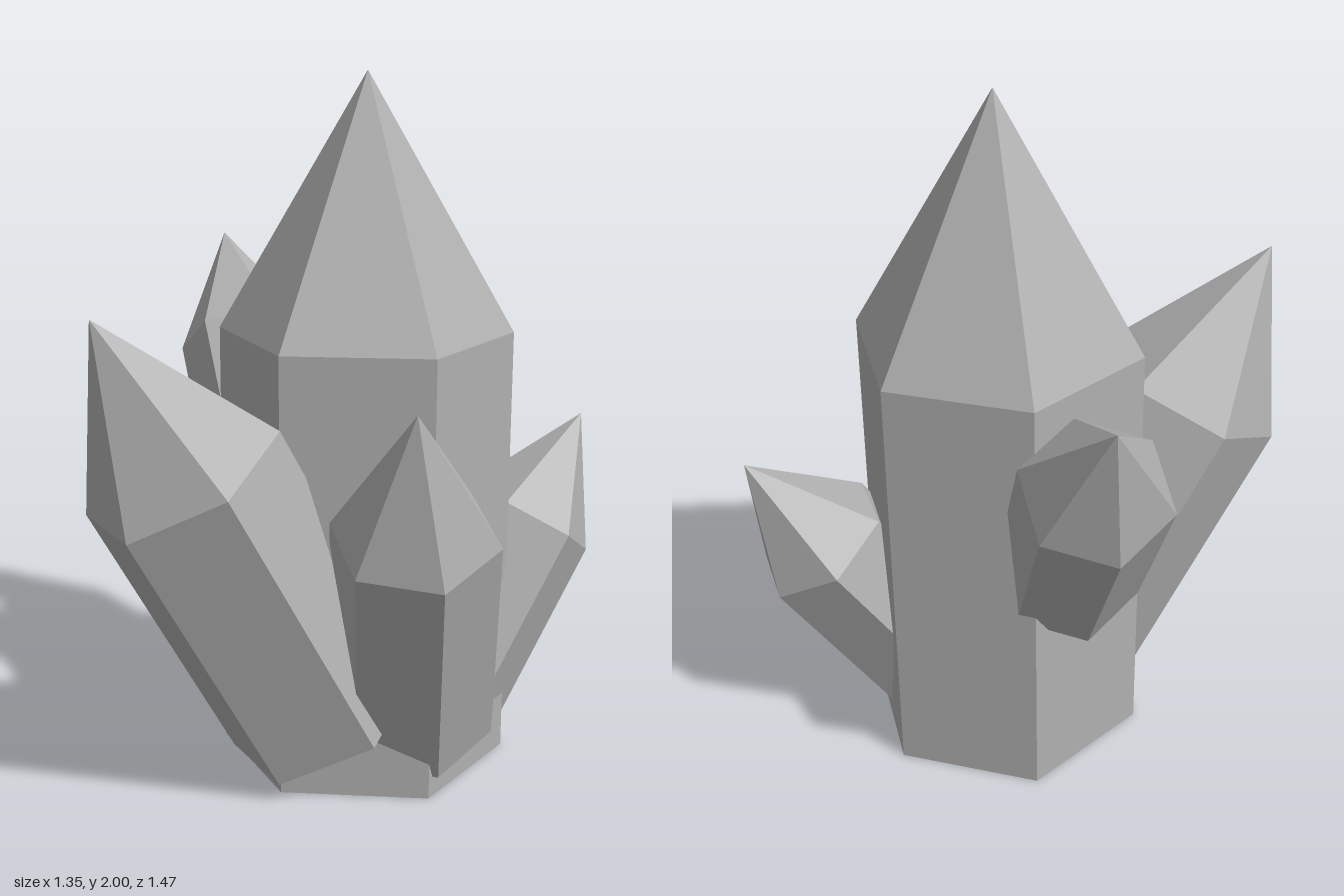
import * as THREE from 'three';

const stone = new THREE.MeshStandardMaterial({ color: 0xb0b0b0 });
stone.name = 'grey crystal';

// Six-sided prism with a pointed tip, running from the base centre to the apex
function crystal(name, base, apex, twist = 0) {
  const from = new THREE.Vector3(...base);
  const axis = new THREE.Vector3(...apex).sub(from);
  const length = axis.length();
  axis.normalize();

  const radius = 0.21 * length;
  const shoulder = 0.6375 * length;
  const profile = [[0, 0], [radius, 0], [radius, shoulder], [0, length]];
  const geometry = new THREE.LatheGeometry(
    profile.map(([r, y]) => new THREE.Vector2(r, y)), 6).toNonIndexed();
  geometry.computeVertexNormals(); // flat facets

  const mesh = new THREE.Mesh(geometry, stone);
  mesh.name = name;
  mesh.position.copy(from);
  // Lean sideways and forward, then twist about the crystal's own axis
  mesh.rotation.set(
    Math.asin(axis.z),
    THREE.MathUtils.degToRad(twist),
    Math.atan2(-axis.x, axis.y),
    'ZXY');
  return mesh;
}

export function createModel() {
  const group = new THREE.Group();
  group.name = 'crystalCluster';
  group.add(
    crystal('mainCrystal', [0.1, 0, -0.12], [0.1, 2, -0.12]),
    crystal('frontCrystal', [0.1, 0.175, 0.085], [-0.22, 1.4, 0.68]),
    crystal('leftCrystal', [0.305, 0.145, -0.07], [0.535, 1.18, 0.302], -7),
    crystal('backCrystal', [0.263, 0.12, -0.237], [0.49, 0.955, -0.735]),
    crystal('rightCrystal', [-0.2, 0.635, -0.14], [-0.675, 1.445, -0.46], 8));
  return group;
}
